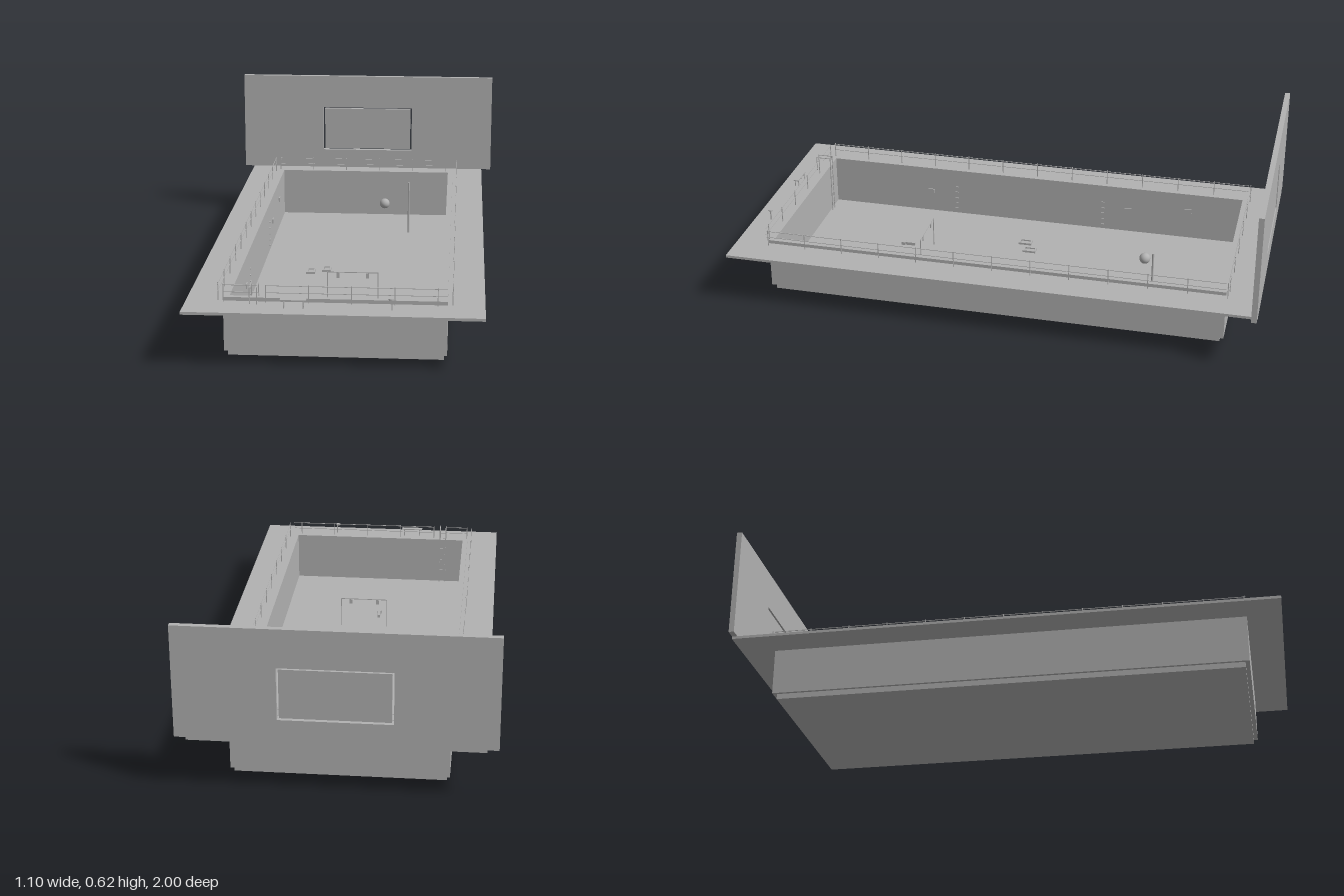
import * as THREE from 'three';

export function createModel() {
  const model = new THREE.Group();
  const grey = new THREE.MeshStandardMaterial({ color: 0xb2b2b2 });
  grey.name = 'grey';

  const add = (name, geometry, x = 0, y = 0, z = 0, parent = model) => {
    const mesh = new THREE.Mesh(geometry, grey);
    mesh.name = name;
    mesh.position.set(x, y, z);
    parent.add(mesh);
    return mesh;
  };
  const box = (name, w, h, d, x, y, z, parent) =>
    add(name, new THREE.BoxGeometry(w, h, d), x, y, z, parent);
  const group = (name) => {
    const g = new THREE.Group();
    g.name = name;
    model.add(g);
    return g;
  };
  const rect = (Type, x0, y0, x1, y1) => {
    const s = new Type();
    s.moveTo(x0, y0).lineTo(x1, y0).lineTo(x1, y1).lineTo(x0, y1).closePath();
    return s;
  };
  // Rectangular slab with one rectangular opening
  const ring = (outer, inner, depth) => {
    const s = rect(THREE.Shape, ...outer);
    s.holes.push(rect(THREE.Path, ...inner));
    return new THREE.ExtrudeGeometry(s, { depth, bevelEnabled: false });
  };
  const flatRing = (...args) => ring(...args).rotateX(-Math.PI / 2);

  // Basin, floor and deck
  box('poolFloor', 0.744, 0.02, 1.72, 0, 0.01, 0);
  add('basinWalls', flatRing([-0.383, -0.875, 0.383, 0.875], [-0.362, -0.856, 0.362, 0.856], 0.195), 0, 0.02, 0);
  add('deck', flatRing([-0.51, -1, 0.51, 1], [-0.383, -0.875, 0.383, 0.875], 0.01), 0, 0.192, 0);

  // End wall with a panel set in its opening
  add('endWall', ring([-0.55, 0.202, 0.55, 0.616], [-0.197, 0.282, 0.197, 0.475], 0.02), 0, 0, -1);
  box('wallPanel', 0.38, 0.181, 0.014, 0, 0.3785, -0.99);

  // Railing round the pool
  const railing = group('railing');
  const t = 0.003;
  for (let i = 0; i < 13; i++)
    for (const x of [-0.4, 0.4]) box('railPost', t, 0.066, t, x, 0.233, 0.87 - i * 0.146, railing);
  for (let i = 0; i < 6; i++)
    for (const z of [-0.885, 0.885])
      if (z < 0 || i !== 1) box('railPost', t, 0.066, t, -0.38 + i * 0.146, 0.233, z, railing);
  for (const y of [0.237, 0.262]) {
    for (const x of [-0.4, 0.4]) box('sideRail', 0.002, 0.002, 1.75, x, y, 0, railing);
    box('backRail', 0.765, 0.002, 0.002, 0, y, -0.885, railing);
    box('frontRailShort', 0.095, 0.002, 0.002, -0.335, y, 0.885, railing);
    box('frontRailLong', 0.615, 0.002, 0.002, 0.075, y, 0.885, railing);
  }

  // Entry ladder at the front
  const ladder = group('entryLadder');
  for (const x of [-0.288, -0.263]) {
    box('ladderHandrail', t, t, 0.06, x, 0.26, 0.875, ladder);
    box('ladderRearPost', t, 0.06, t, x, 0.232, 0.905, ladder);
    box('ladderStile', t, 0.24, t, x, 0.14, 0.847, ladder);
  }
  box('gatePost', t, 0.062, t, -0.235, 0.233, 0.885, ladder);
  for (let y = 0.05; y < 0.25; y += 0.025) box('ladderRung', 0.025, 0.002, 0.002, -0.2755, y, 0.847, ladder);

  // Bench and stool on the front deck
  const bench = group('bench');
  box('benchSeat', 0.088, 0.004, 0.02, -0.136, 0.231, 0.936, bench);
  for (const x of [-0.168, -0.102])
    for (const z of [0.929, 0.943]) box('benchLeg', t, 0.028, t, x, 0.215, z, bench);
  box('stoolLeg', 0.004, 0.038, 0.004, 0.197, 0.221, 0.936);
  add('stoolTop', new THREE.CylinderGeometry(0.009, 0.009, 0.004, 12), 0.194, 0.241, 0.936);

  // Objects in the pool
  add('ball', new THREE.SphereGeometry(0.021, 24, 16), 0.1, 0.16, -0.535);
  add('pole', new THREE.CylinderGeometry(0.004, 0.004, 0.22, 10), 0.2, 0.13, -0.58);
  for (const [x, z] of [[-0.165, -0.01], [-0.105, -0.04]]) {
    add('drainFrame', flatRing([-0.017, -0.026, 0.017, 0.026], [-0.011, -0.02, 0.011, 0.02], 0.008), x, 0.02, z);
    box('drainPlate', 0.018, 0.004, 0.036, x, 0.022, z);
  }
  const gate = group('poolGate');
  box('gateBar', 0.19, 0.003, 0.003, 0.025, 0.14, 0.35, gate);
  for (const x of [-0.069, 0.119]) box('gateLeg', t, 0.12, t, x, 0.08, 0.35, gate);
  for (const x of [-0.03, 0.08]) box('gateTag', 0.012, 0.02, 0.003, x, 0.128, 0.35, gate);
  box('floorMarkerShaft', 0.01, 0.012, 0.045, -0.03, 0.035, 0.44);
  box('floorMarkerHead', 0.018, 0.012, 0.015, -0.03, 0.035, 0.465);

  // Fittings on the side wall
  for (const z of [0.33, -0.29])
    for (let y = 0.04; y < 0.16; y += 0.025) box('wallStep', 0.004, 0.004, 0.012, -0.36, y, z);
  for (const [y, z] of [[0.11, 0.44], [0.115, -0.395], [0.14, -0.64]])
    box('wallLamp', 0.005, 0.018, 0.028, -0.36, y, z);

  return model;
}
